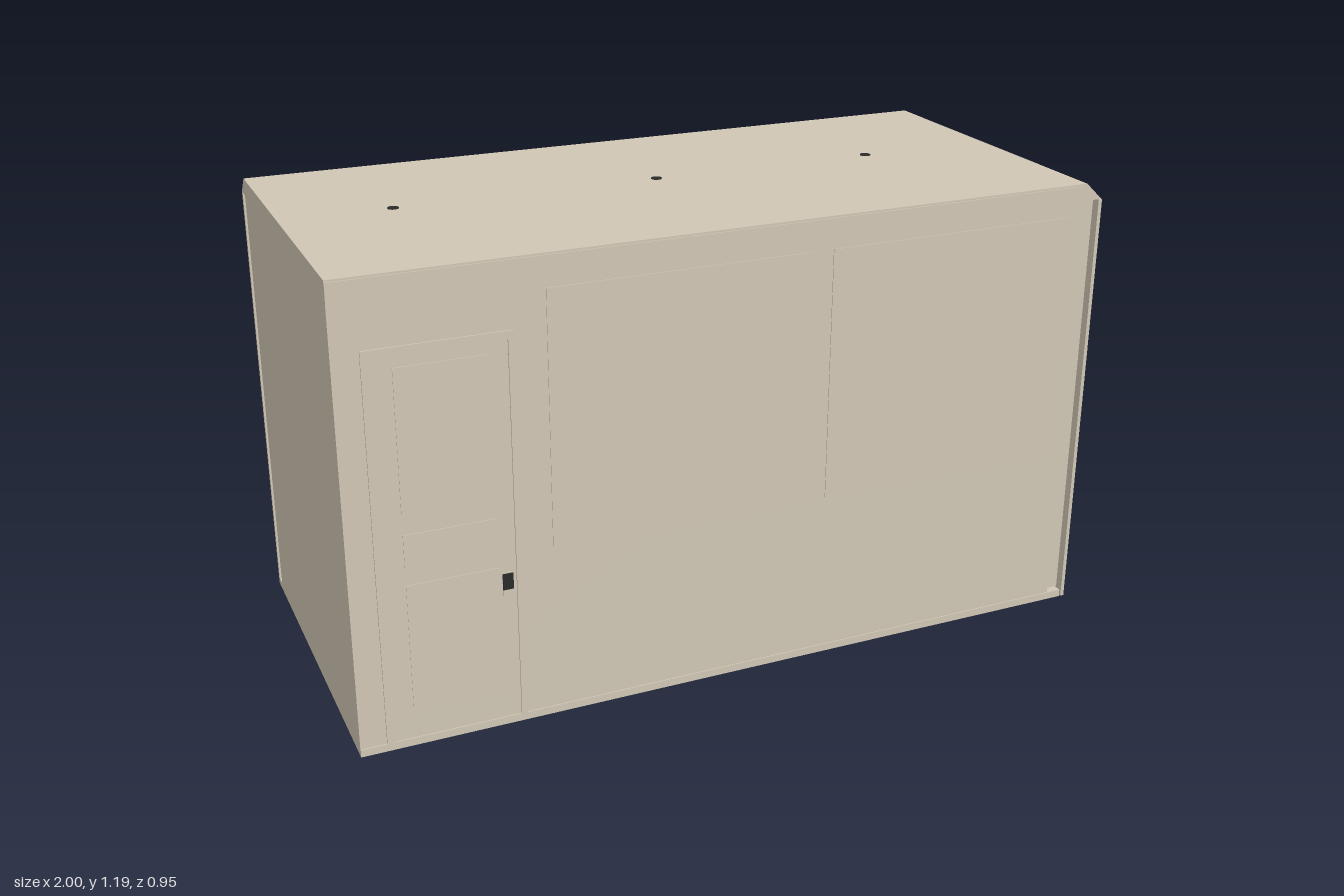
import * as THREE from 'three';
import { ConvexGeometry } from 'three/addons/geometries/ConvexGeometry.js';

const plaster = new THREE.MeshStandardMaterial({ color: 0xd2c8b6 });
plaster.name = 'warm plaster';
const iron = new THREE.MeshStandardMaterial({ color: 0x2b2b2a });
iron.name = 'dark iron';

export function createModel() {
  const room = new THREE.Group();
  room.name = 'room';

  function add(name, geometry, material = plaster) {
    const mesh = new THREE.Mesh(geometry, material);
    mesh.name = name;
    room.add(mesh);
    return mesh;
  }
  // Box given by its lower and upper corner
  function slab(name, x0, x1, y0, y1, z0, z1, material = plaster) {
    const mesh = add(name, new THREE.BoxGeometry(x1 - x0, y1 - y0, z1 - z0), material);
    mesh.position.set((x0 + x1) / 2, (y0 + y1) / 2, (z0 + z1) / 2);
    return mesh;
  }
  // Rectangle outline used for casings
  function rect(path, x0, x1, y0, y1) {
    path.moveTo(x0, y0).lineTo(x1, y0).lineTo(x1, y1).lineTo(x0, y1).lineTo(x0, y0);
    return path;
  }
  function ellipse(Type, rx, ry) {
    const path = new Type();
    path.absellipse(WX, WY, rx, ry, 0, Math.PI * 2, false, 0);
    return path;
  }
  function extrude(name, shape, depth, z, material = plaster) {
    const geometry = new THREE.ExtrudeGeometry(shape, { depth, bevelEnabled: false, curveSegments: 48 });
    const mesh = add(name, geometry, material);
    mesh.position.z = z;
    return mesh;
  }

  const W = 1, D = 0.473, H = 1.19, EAVE = 1.145, IN = 0.43, FRONT = 0.47;
  const WX = 0.028, WY = 0.72, RX = 0.215, RY = 0.305;

  // Floor and roof; the roof is chamfered along the back and the left end
  slab('floor', -W, 0.985, 0, 0.02, -D, D);
  const roofPoints = [];
  for (const [y, right, back] of [[EAVE, W, -D], [H, 0.952, -IN]]) {
    for (const x of [-W, right]) for (const z of [back, FRONT]) roofPoints.push(new THREE.Vector3(x, y, z));
  }
  add('roof', new ConvexGeometry(roofPoints));

  // Outer walls, with a shallow slot at the two open wall ends
  slab('frontWall', -W, 0.945, 0.02, EAVE, IN, FRONT);
  slab('rightEndWall', -W, -0.96, 0.02, EAVE, -IN, IN);
  slab('leftEndWall', 0.99, W, 0, EAVE, -D, D);
  slab('leftEndCore', 0.945, 0.99, 0.02, EAVE, -IN, 0.45);
  slab('backWallEndCore', -0.985, -0.95, 0.02, EAVE, -0.465, -IN);

  // Back wall with an oval opening
  const backShape = rect(new THREE.Shape(), -W, W, 0, EAVE);
  backShape.holes.push(ellipse(THREE.Path, RX, RY));
  extrude('backWallSkin', backShape, 0.01, -D);
  const coreShape = rect(new THREE.Shape(), -0.95, 0.99, 0.02, EAVE);
  coreShape.holes.push(ellipse(THREE.Path, RX, RY));
  extrude('backWallCore', coreShape, 0.035, -D + 0.01);

  // Oval window: stepped frame, pane and glazing bars
  [[1, 0.93, -D + 0.001, 0.045], [0.94, 0.88, -0.45, 0.025]].forEach(([outer, inner, z, depth]) => {
    const ring = ellipse(THREE.Shape, RX * outer, RY * outer);
    ring.holes.push(ellipse(THREE.Path, RX * inner, RY * inner));
    extrude('windowFrame', ring, depth, z, iron);
  });
  extrude('windowPane', ellipse(THREE.Shape, RX, RY), 0.006, -0.429);
  const bar = 0.006;
  slab('windowCrossbar', WX - RX * 0.9, WX + RX * 0.9, WY - bar, WY + bar, -0.442, -0.428, iron);
  for (const side of [-1, 1]) {
    const x = WX + side * 0.066;
    const h = RY * 0.9 * Math.sqrt(1 - (0.066 / (RX * 0.9)) ** 2);
    slab('windowUpright', x - bar, x + bar, WY - h, WY + h, -0.442, -0.428, iron);
  }

  // Front cornice bands and the two large wall panels
  slab('corniceUpper', -W, 0.945, 1.16, 1.185, FRONT, FRONT + 0.003);
  slab('corniceLower', -W, 0.945, 1.14, 1.16, FRONT, FRONT + 0.0015);
  for (const [x0, x1] of [[-0.503, 0.171], [0.228, 0.909]]) {
    slab('wallPanel', x0, x1, 0.45, 1.107, FRONT, FRONT + 0.002);
  }

  // Door casing, leaf panels and lock
  const casing = new THREE.Shape();
  casing.moveTo(-0.935, 0.02).lineTo(-0.92, 0.02).lineTo(-0.92, 1.0).lineTo(-0.597, 1.0)
    .lineTo(-0.597, 0.02).lineTo(-0.582, 0.02).lineTo(-0.582, 1.02).lineTo(-0.935, 1.02);
  extrude('doorCasing', casing, 0.004, FRONT);
  for (const [y0, y1] of [[0.1, 0.43], [0.47, 0.56], [0.615, 0.97]]) {
    slab('doorPanel', -0.865, -0.64, y0, y1, FRONT, FRONT + 0.002);
  }
  slab('lockPlate', -0.632, -0.606, 0.34, 0.415, FRONT, FRONT + 0.002);
  slab('doorLatch', -0.632, -0.606, 0.37, 0.412, FRONT + 0.001, FRONT + 0.005, iron);

  // Small ceiling fittings on the roof
  for (const x of [-0.72, -0.03, 0.58]) {
    const fitting = add('roofFitting', new THREE.CylinderGeometry(0.014, 0.014, 0.003, 20), iron);
    fitting.position.set(x, H + 0.0005, -0.01);
  }
  return room;
}
